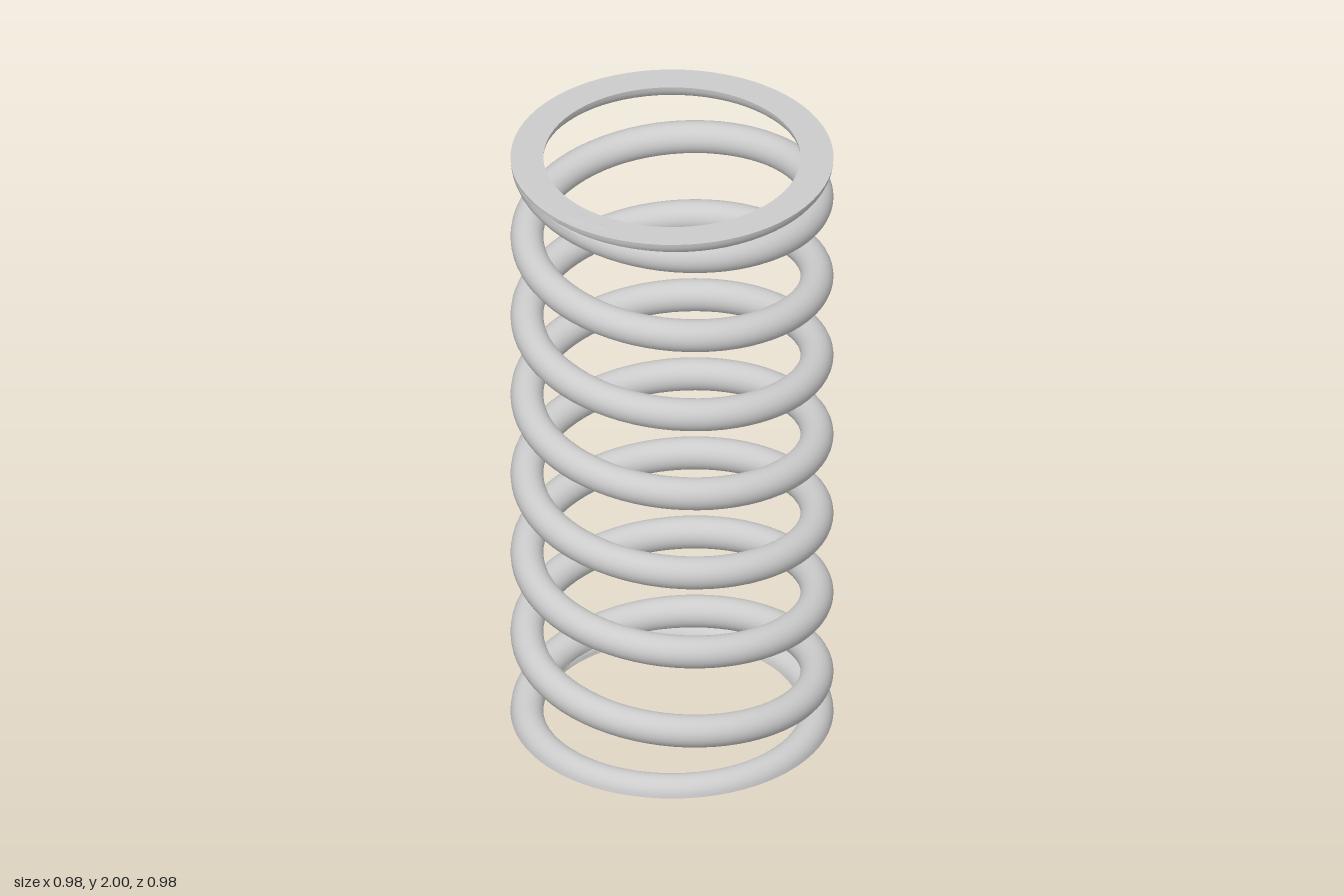
import * as THREE from 'three';
import { toCreasedNormals } from 'three/addons/utils/BufferGeometryUtils.js';

const HEIGHT = 2, COIL_RADIUS = 0.44, WIRE_RADIUS = 0.05;
const TURNS = 7;       // rising turns, with one flat turn added at each end
const STEPS = 72;      // sections per turn
const SIDES = 24;      // points around the wire

// Round wire swept along the coil; ends are ground flat at y = 0 and y = HEIGHT
function springGeometry() {
  const positions = [], index = [];
  const rise = HEIGHT / TURNS;
  const slope = Math.atan(rise / (2 * Math.PI * COIL_RADIUS));
  const count = (TURNS + 2) * STEPS;

  for (let i = 0; i <= count; i++) {
    const turn = i / STEPS - 1;
    const a = turn * 2 * Math.PI;
    const y = rise * THREE.MathUtils.clamp(turn, 0, TURNS);
    const tilt = turn > 0 && turn < TURNS ? slope : 0;
    const outward = new THREE.Vector3(-Math.cos(a), 0, -Math.sin(a));
    const upward = new THREE.Vector3(
      -Math.sin(a) * Math.sin(tilt), Math.cos(tilt), Math.cos(a) * Math.sin(tilt));
    for (let j = 0; j < SIDES; j++) {
      const b = (j / SIDES) * 2 * Math.PI;
      const p = outward.clone().multiplyScalar(COIL_RADIUS + WIRE_RADIUS * Math.cos(b))
        .addScaledVector(upward, WIRE_RADIUS * Math.sin(b));
      positions.push(p.x, THREE.MathUtils.clamp(p.y + y, 0, HEIGHT), p.z);
    }
  }

  // Skin between neighbouring sections
  for (let i = 0; i < count; i++) {
    for (let j = 0; j < SIDES; j++) {
      const k = (j + 1) % SIDES;
      const a = i * SIDES + j, b = i * SIDES + k;
      index.push(a, b, a + SIDES, b, b + SIDES, a + SIDES);
    }
  }

  // Half-round caps on the two wire ends
  const last = count * SIDES;
  for (let j = 1; j < SIDES / 2; j++) index.push(0, j + 1, j);
  for (let j = SIDES / 2; j < SIDES - 1; j++) index.push(last, last + j, last + j + 1);

  const geometry = new THREE.BufferGeometry();
  geometry.setAttribute('position', new THREE.Float32BufferAttribute(positions, 3));
  geometry.setIndex(index);
  return toCreasedNormals(geometry, 0.6);
}

export function createModel() {
  const group = new THREE.Group();
  group.name = 'compressionSpring';
  const coil = new THREE.Mesh(
    springGeometry(), new THREE.MeshStandardMaterial({ color: 0xcccccc }));
  coil.name = 'coil';
  group.add(coil);
  return group;
}
